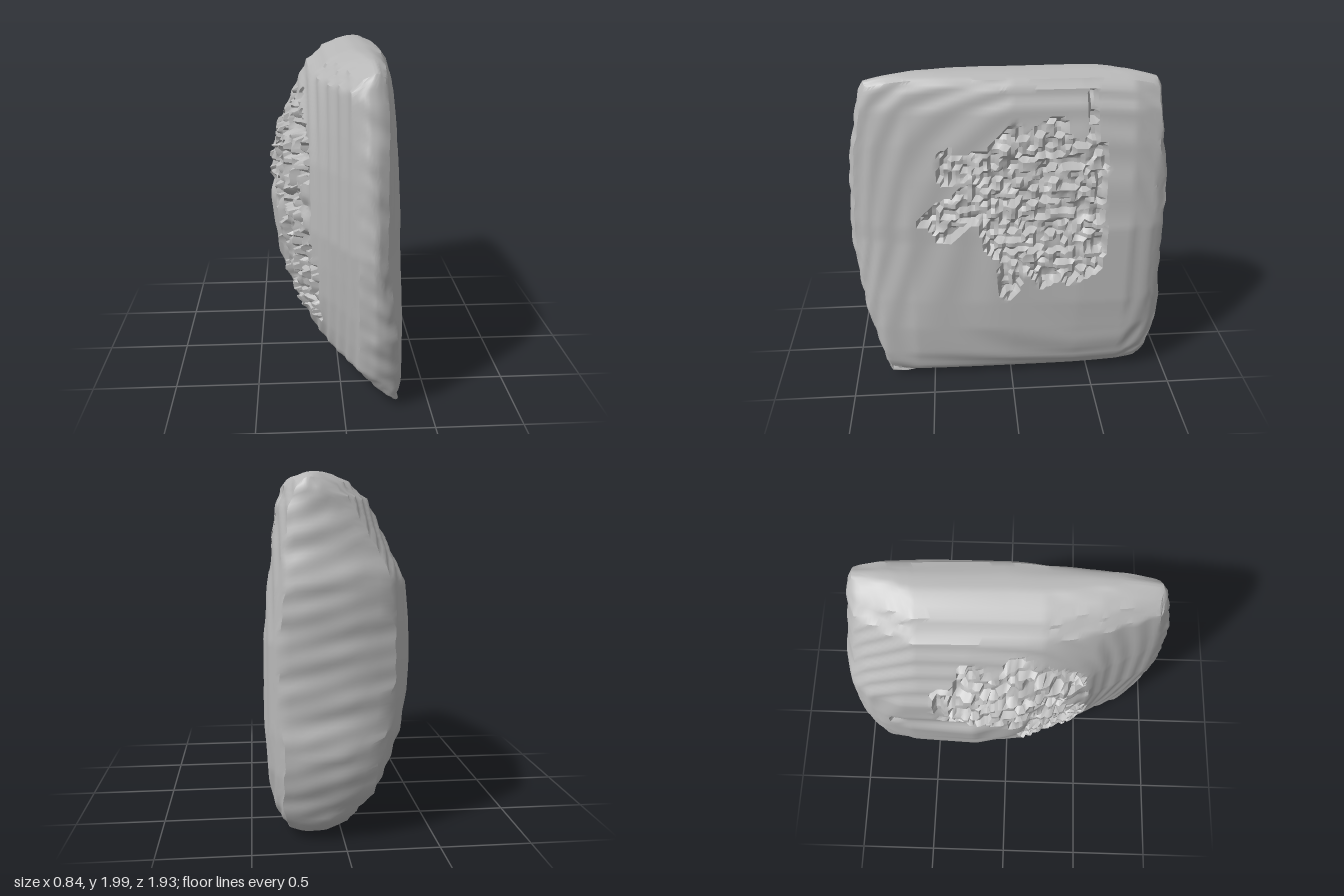
import * as THREE from 'three';
import { mergeVertices, toCreasedNormals } from 'three/addons/utils/BufferGeometryUtils.js';

// Piecewise profile through [position, value] pairs
function profile(pairs) {
  return (v) => {
    if (v <= pairs[0][0]) return pairs[0][1];
    for (let i = 1; i < pairs.length; i++) {
      const [a, p] = pairs[i - 1], [b, q] = pairs[i];
      if (v <= b) return p + (q - p) * (v - a) / (b - a);
    }
    return pairs[pairs.length - 1][1];
  };
}

// Outline of the slab seen from its broad side
const frontEdge = profile([[0, 0.7], [0.06, 0.78], [0.12, 0.81], [0.5, 0.91], [1, 0.967], [1.5, 0.935], [1.9, 0.85], [2, 0.79]]);
const backEdge = profile([[0, -0.75], [0.06, -0.83], [0.12, -0.87], [0.3, -0.93], [0.5, -0.965], [0.7, -0.94], [1, -0.935], [1.4, -0.94], [1.6, -0.9], [1.9, -0.86], [2, -0.8]]);

// Broad faces from back to front, and how they fall away with height
const flatFace = profile([[-0.96, 0.29], [-0.92, 0.335], [-0.85, 0.385], [-0.7, 0.42], [-0.4, 0.42], [0, 0.405], [0.3, 0.365], [0.6, 0.325], [0.8, 0.28], [0.9, 0.24], [0.96, 0.2]]);
const flatFall = profile([[0.02, -0.16], [0.06, -0.11], [0.12, -0.07], [0.2, -0.04], [0.4, -0.01], [0.6, 0], [1.1, 0], [1.4, -0.03], [1.6, -0.055], [1.8, -0.09], [1.93, -0.14], [1.99, -0.2]]);
const domeFace = profile([[-0.95, -0.16], [-0.88, -0.27], [-0.78, -0.35], [-0.6, -0.395], [-0.2, -0.41], [0.1, -0.36], [0.3, -0.27], [0.5, -0.17], [0.6, -0.1], [0.8, 0], [0.9, 0.06], [0.97, 0.12]]);
const domeRim = profile([[-0.95, -0.08], [-0.8, -0.14], [0.2, -0.13], [0.5, -0.07], [0.8, 0.03], [0.95, 0.11]]);
const domeRise = profile([[0.2, 0.05], [0.4, 0.5], [0.6, 0.82], [0.8, 0.95], [1, 1], [1.2, 0.96], [1.4, 0.87], [1.6, 0.56], [1.8, 0.2], [1.9, 0]]);
const domeFall = profile([[0.02, 0.22], [0.1, 0.12], [0.25, 0], [1.85, 0], [1.93, 0.06], [1.99, 0.14]]);
// Sloped upper corner at the back of the domed face
const backBevel = profile([[-0.88, 1], [-0.5, 0]]);

function hash(i, j, k) {
  const n = Math.sin(i * 127.1 + j * 311.7 + k * 74.7) * 43758.5453;
  return n - Math.floor(n);
}
const chip = (z, y, k) => hash(Math.round(z * 26), Math.round(y * 26), k);
const inside = (z, y, cz, cy, rz, ry) => ((z - cz) / rz) ** 2 + ((y - cy) / ry) ** 2 < 1;

// Rough, broken areas on each broad face
function flatBroken(z, y) {
  const wobble = 0.04 * Math.sin(z * 23 + y * 17);
  return inside(z, y + wobble, -0.16, 1.25, 0.36, 0.5)
    || (z > -0.54 && z < -0.2 && y > 0.78 + wobble && y < 1.62)
    || inside(z, y + wobble, 0.27, 1.48, 0.15, 0.1)
    || inside(z, y + wobble, 0.4, 1.15, 0.16, 0.1)
    || inside(z, y, 0.23, 1.25, 0.12, 0.12)
    || inside(z, y, 0.02, 0.76, 0.07, 0.12)
    || (z > -0.48 && z < -0.43 && y > 1.5 && y < 1.92);
}
function domeBroken(z, y) {
  const wobble = 0.06 * Math.sin(z * 19 + y * 13);
  return inside(z, y + wobble, 0.02, 1.38, 0.45, 0.32)
    || inside(z, y + wobble, 0.3, 0.75, 0.21, 0.38);
}

// Soft ledges, like layered stone
const ledge = (v, step) => v + 0.12 * step * Math.sin(v / step * Math.PI * 2);

function flatX(z, y) {
  const lean = y < 1 ? 0.1 * (1 - y) * Math.max(z, 0) : 0;
  const x = flatFace(z) + flatFall(y) * (0.8 - 0.35 * z) + lean;
  const cut = flatBroken(z, y) ? 0.005 + 0.08 * chip(z, y, 1) : 0;
  return ledge(x, 0.035) - cut;
}
function domeX(z, y) {
  const lean = y < 1 ? 0.12 * (1 - y) * Math.max(z, 0) : 0;
  const rim = domeRim(z);
  let x = rim + (domeFace(z) - rim) * domeRise(y) + domeFall(y) + lean;
  x += backBevel(z) * 0.4 * Math.max(y - 1.45, 0);
  // Shallow horizontal crease between the upper and lower swell
  x += 0.025 * Math.exp(-(((y - 1.12) / 0.04) ** 2)) * (z > -0.7 && z < 0.5 ? 1 : 0);
  if (domeBroken(z, y)) x += 0.09 * chip(z, y, 2) - 0.025;
  return ledge(x, 0.05);
}

// Box whose vertices are moved onto the stone's surface
function stoneGeometry() {
  let geo = new THREE.BoxGeometry(2, 2, 2, 12, 80, 80);
  geo.deleteAttribute('normal');
  geo.deleteAttribute('uv');
  geo = mergeVertices(geo, 1e-4);
  const pos = geo.attributes.position;
  for (let i = 0; i < pos.count; i++) {
    const a = pos.getX(i), t = pos.getY(i), s = pos.getZ(i);
    const inset = 1 - (a > 0 ? 0.03 : 0.055) * Math.abs(a) ** 3;
    const top = 2 - 0.05 * Math.abs(s) ** 6, bottom = 0.01 + 0.04 * Math.abs(s) ** 4;
    const y = (top + bottom) / 2 + (top - bottom) / 2 * t * inset;
    const z0 = backEdge(y), z1 = frontEdge(y);
    const ripple = 0.003 * (Math.sin(y * 29) + Math.sin(y * 47 + a * 3)) * Math.abs(s) ** 12;
    const z = (z0 + z1) / 2 + (z1 - z0) / 2 * s * inset + ripple;
    const low = domeX(z, y), high = Math.max(flatX(z, y), low + 0.05);
    pos.setXYZ(i, low + (high - low) * (a + 1) / 2, y, z);
  }
  return toCreasedNormals(geo, 0.6);
}

export function createModel() {
  const group = new THREE.Group();
  group.name = 'weatheredStone';
  const stoneGray = new THREE.MeshStandardMaterial({ color: 0xb8b8b8 });
  stoneGray.name = 'stone gray';
  const slab = new THREE.Mesh(stoneGeometry(), stoneGray);
  slab.name = 'stoneSlab';
  group.add(slab);
  return group;
}
